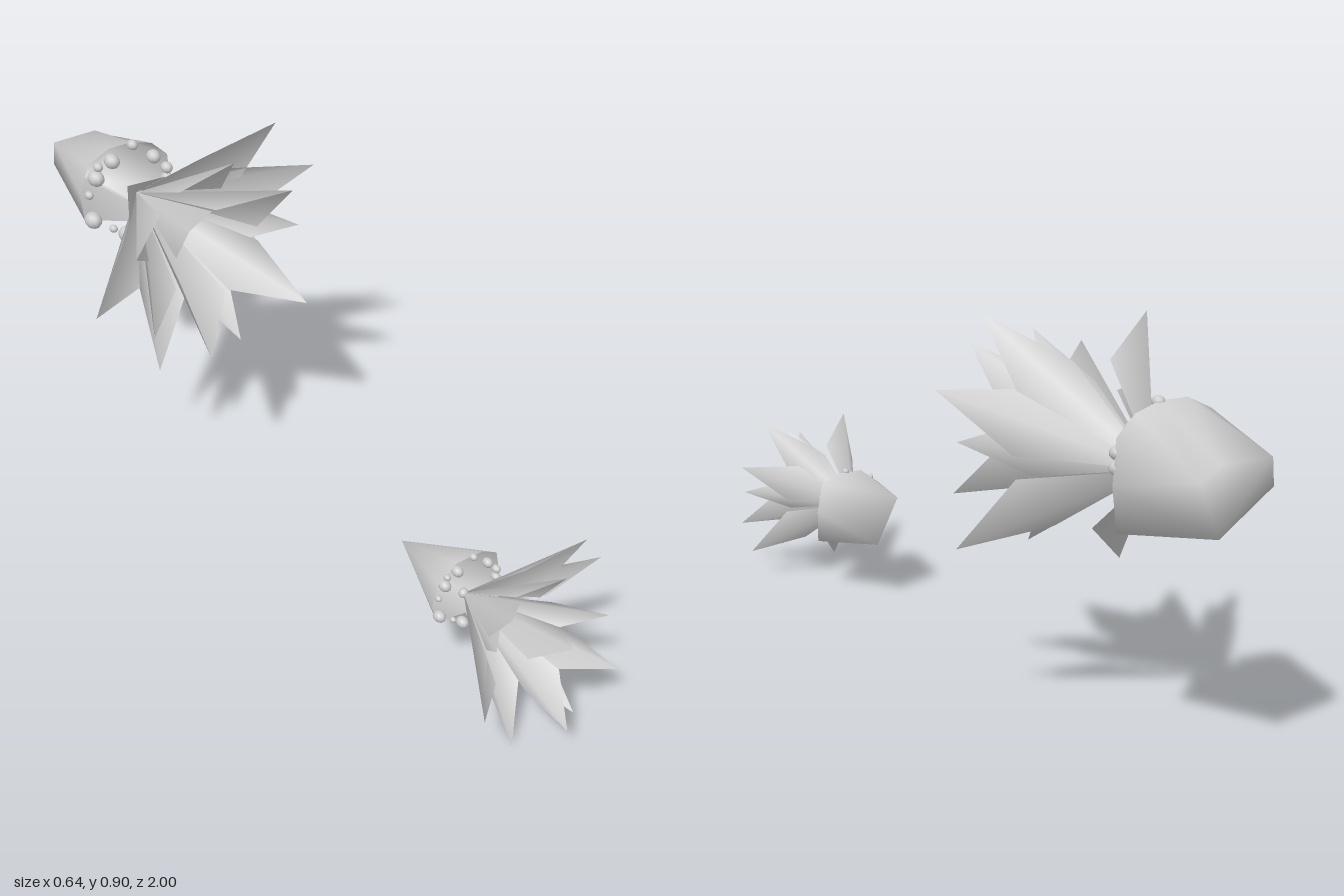
import * as THREE from 'three';
import { mergeVertices } from 'three/addons/utils/BufferGeometryUtils.js';

const grey = new THREE.MeshStandardMaterial({ color: 0xcccccc, side: THREE.DoubleSide });

function mesh(geometry, name) {
  const m = new THREE.Mesh(geometry, grey);
  m.name = name;
  return m;
}

function surface(points, index) {
  const g = new THREE.BufferGeometry();
  g.setAttribute('position', new THREE.Float32BufferAttribute(points.flat(), 3));
  g.setIndex(index);
  const merged = mergeVertices(g, 1e-4);
  merged.computeVertexNormals();
  return merged;
}

// Open pot: a round rim with one flat side, lofted to a base with only a few corners
function pot({ rim, centre, rimZ, baseZ, corners }) {
  const n = rim.length, points = [], index = [];
  for (const [x, y] of rim) {
    const reach = (q) => q[0] * (x - centre[0]) + q[1] * (y - centre[1]);
    const corner = corners.reduce((p, q) => (reach(q) > reach(p) ? q : p));
    points.push([x, y, rimZ], [...corner, baseZ]);
  }
  for (let i = 0; i < n; i++) {
    const r = 2 * i, r2 = 2 * ((i + 1) % n);
    index.push(r, r + 1, r2, r2, r + 1, r2 + 1);
    if (i > 0 && i < n - 1) index.push(1, r2 + 1, r + 1);
  }
  return mesh(surface(points, index), 'pot');
}

// Kite-shaped leaf: narrow foot, two side corners, pointed tip bending outward
function leaf(foot, tip, along, rise, halfWidth) {
  const dx = tip[0] - foot[0], dy = tip[1] - foot[1], dz = tip[2] - foot[2];
  const len = Math.hypot(dx, dy), sx = -dy / len, sy = dx / len;
  const at = (w) => [foot[0] + dx * along + sx * w, foot[1] + dy * along + sy * w, foot[2] + dz * rise];
  return mesh(surface([foot, at(-halfWidth), tip, at(halfWidth)], [0, 1, 2, 0, 2, 3]), 'leaf');
}

// Uneven ring of pebbles along the rim
function pebbles({ centre, radius, rimZ, pebble }) {
  const group = new THREE.Group();
  group.name = 'pebbles';
  const count = 14;
  for (let i = 0; i < count; i++) {
    const a = (i / count) * Math.PI * 2 + 0.2 * Math.sin(i * 5.1);
    const r = radius * (0.9 + 0.08 * Math.sin(i * 2.7));
    const p = mesh(new THREE.SphereGeometry(pebble * (0.85 + 0.3 * Math.sin(i * 3.3)), 10, 8), 'pebble');
    p.position.set(centre[0] + r * Math.cos(a), centre[1] + r * Math.sin(a), rimZ + pebble * 0.4);
    p.scale.z = 1.25;
    group.add(p);
  }
  return group;
}

function plant(name, spec) {
  const group = new THREE.Group();
  group.name = name;
  group.add(pot(spec), pebbles(spec));
  const leaves = new THREE.Group();
  leaves.name = 'leaves';
  const shapes = [[spec.outer, 0.5, 0.7], [spec.middle, 0.5, 0.7], [spec.inner, 0.42, 0.75]];
  shapes.forEach(([tips, along, rise], ring) => {
    for (const tip of tips) leaves.add(leaf(spec.foot, tip, along, rise, spec.widths[ring]));
  });
  group.add(leaves);
  // Small bud where the leaves meet
  const bud = mesh(new THREE.SphereGeometry(spec.pebble, 10, 8), 'bud');
  bud.position.set(...spec.foot);
  group.add(bud);
  return group;
}

export function createModel() {
  const model = new THREE.Group();
  model.name = 'pottedPlants';

  model.add(plant('largePlant', {
    centre: [-0.02, 0.635], radius: 0.13, rimZ: -0.755, baseZ: -1, pebble: 0.019,
    rim: [[0.1, 0.5], [0.112, 0.6], [0.105, 0.7], [0.06, 0.745], [0, 0.765],
      [-0.07, 0.765], [-0.13, 0.735], [-0.157, 0.66], [-0.15, 0.585]],
    corners: [[0.08, 0.66], [0.03, 0.54], [-0.1, 0.63], [-0.095, 0.69], [0.03, 0.69]],
    foot: [0.005, 0.62, -0.75],
    widths: [0.075, 0.062, 0.072],
    outer: [[-0.23, 0.872, -0.38], [0.205, 0.905, -0.4], [0.32, 0.755, -0.4],
      [0.27, 0.4, -0.4], [-0.155, 0.315, -0.4], [-0.325, 0.53, -0.4]],
    middle: [[-0.245, 0.7, -0.33], [0.055, 0.855, -0.36], [0.245, 0.625, -0.36],
      [0.045, 0.37, -0.33], [-0.2, 0.46, -0.34]],
    inner: [[-0.15, 0.79, -0.24], [0.14, 0.81, -0.235], [0.185, 0.475, -0.24], [-0.1, 0.415, -0.24]],
  }));

  model.add(plant('smallPlant', {
    centre: [0.01, 0.22], radius: 0.092, rimZ: 0.62, baseZ: 0.45, pebble: 0.012,
    rim: [[0.11, 0.13], [0.11, 0.21], [0.095, 0.285], [0.05, 0.308], [-0.02, 0.308],
      [-0.07, 0.27], [-0.085, 0.21], [-0.07, 0.165]],
    corners: [[0.02, 0.15], [-0.04, 0.27]],
    foot: [0, 0.217, 0.625],
    widths: [0.048, 0.04, 0.05],
    outer: [[-0.115, 0.395, 0.91], [0.17, 0.418, 0.82], [0.25, 0.312, 0.79],
      [0.215, 0.065, 0.82], [-0.068, 0, 0.89], [-0.18, 0.155, 0.92]],
    middle: [[-0.115, 0.28, 0.87], [0.08, 0.38, 0.86], [0.21, 0.22, 0.87], [0.08, 0.04, 0.92]],
    inner: [[-0.02, 0.335, 1], [0.195, 0.115, 0.93], [0.005, 0.075, 0.98]],
  }));

  return model;
}
